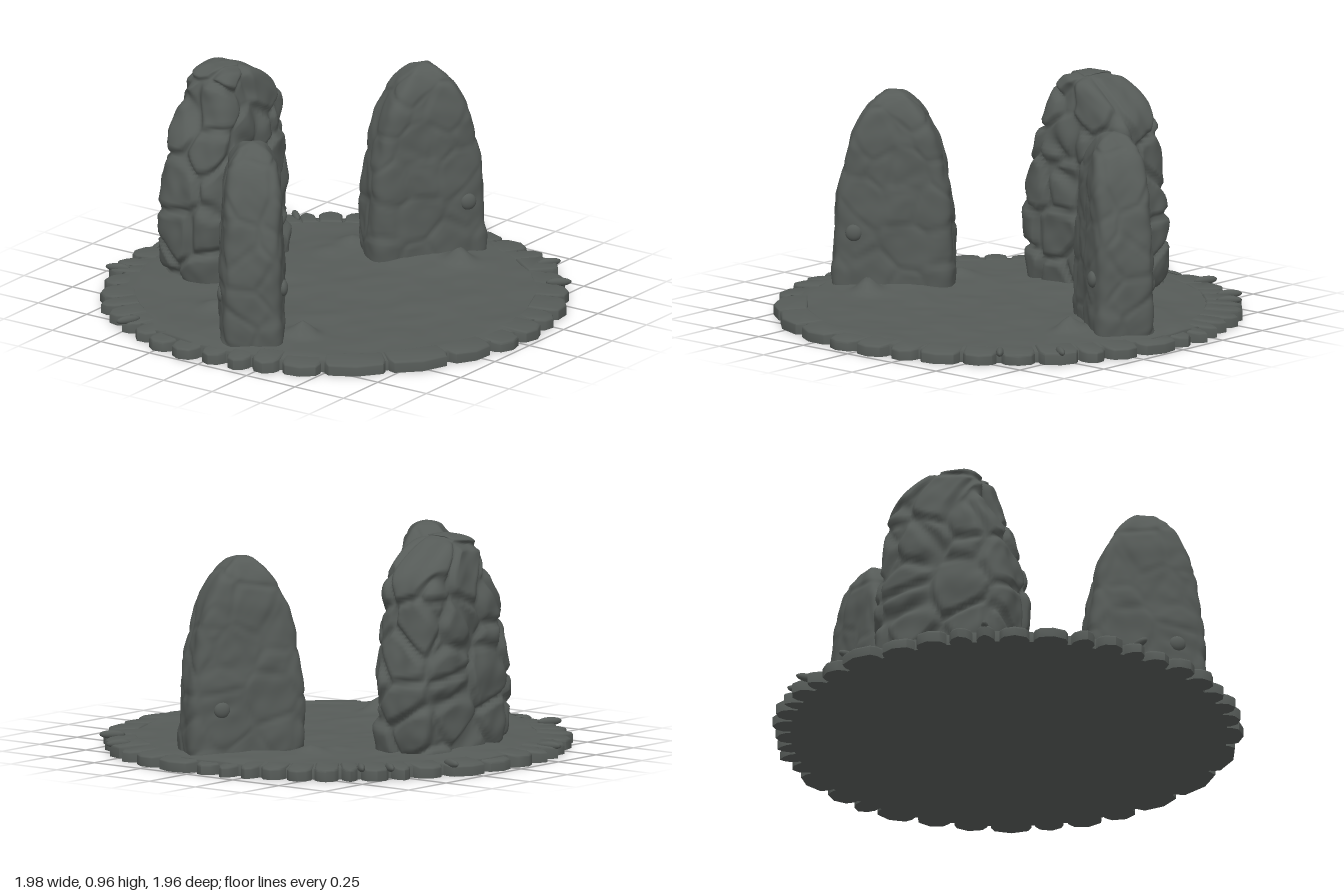
import * as THREE from 'three';
import { toCreasedNormals } from 'three/addons/utils/BufferGeometryUtils.js';

const fract = v => v - Math.floor(v);
const hash = (x, y, z) => fract(Math.sin(x * 127.1 + y * 311.7 + z * 74.7) * 43758.5453);

// Soft rolling noise, about -1 to 1
function lumps(x, y, z) {
  return (Math.sin(x * 1.7 + Math.sin(y * 1.3 + z)) + Math.sin(y * 1.9 + Math.sin(z * 1.6 - x))
    + Math.sin(z * 2.1 + Math.sin(x * 1.4 + y))) / 3;
}

// 0 along the joints between random rock cells, 1 inside them
function cells(x, y, z) {
  let f1 = 9, f2 = 9;
  const cx = Math.floor(x), cy = Math.floor(y), cz = Math.floor(z);
  for (let i = cx - 1; i <= cx + 1; i++)
    for (let j = cy - 1; j <= cy + 1; j++)
      for (let k = cz - 1; k <= cz + 1; k++) {
        const d = Math.hypot(i + hash(i, j, k) - x, j + hash(j, k, i + 5) - y, k + hash(k, i, j + 9) - z);
        if (d < f1) { f2 = f1; f1 = d; } else if (d < f2) f2 = d;
      }
  return THREE.MathUtils.smoothstep(f2 - f1, 0, 0.22);
}

// Closed-around surface through rings of points
function skin(rows, cols, point) {
  const pos = [], index = [];
  for (let i = 0; i <= rows; i++)
    for (let j = 0; j < cols; j++) pos.push(...point(i / rows, (j / cols) * Math.PI * 2));
  for (let i = 0; i < rows; i++)
    for (let j = 0; j < cols; j++) {
      const a = i * cols + j, c = i * cols + (j + 1) % cols;
      index.push(a, a + cols, c, a + cols, c + cols, c);
    }
  const g = new THREE.BufferGeometry();
  g.setAttribute('position', new THREE.Float32BufferAttribute(pos, 3));
  g.setIndex(index);
  g.computeVertexNormals();
  return g;
}

// Standing stone: profile points are [half width, height, half depth]
function stoneGeometry(profile, { power, crack, size, rough, shift = () => 0 }) {
  const curve = new THREE.CatmullRomCurve3(profile.map(p => new THREE.Vector3(...p)));
  return skin(90, 128, (t, a) => {
    const p = curve.getPoint(t);
    const c = Math.cos(a), s = Math.sin(a);
    const r = (Math.abs(c) ** power + Math.abs(s) ** power) ** (-1 / power);
    const x = p.x * r * c, z = p.z * r * s;
    // Push along the wall, easing off towards the crown
    const nx = Math.sign(c) * Math.abs(c) ** (power - 1), nz = Math.sign(s) * Math.abs(s) ** (power - 1);
    const len = Math.hypot(nx, nz), fade = Math.min(1, p.x / 0.08);
    const d = fade * (rough * lumps(x * 14, p.y * 11, z * 14) + rough * 0.4 * lumps(x * 33, p.y * 30, z * 33)
      + crack * (cells(x / size + 3, p.y / size, z / size + 7) - 0.8));
    return [x + nx / len * d + shift(p.y), p.y + (1 - fade) * 0.004 * lumps(x * 40, 1, z * 40), z + nz / len * d];
  });
}

export function createModel() {
  const model = new THREE.Group();
  const stone = new THREE.MeshStandardMaterial({ color: 0x565b58 });
  stone.name = 'dark grey stone';
  const add = (parent, name, geometry) => {
    const m = new THREE.Mesh(geometry, stone);
    m.name = name;
    parent.add(m);
    return m;
  };

  // Earth heaped around each foot: x, z, spread, height
  const mounds = [[0.57, 0.24, 0.05, 0.06], [-0.57, 0.24, 0.05, 0.06], [0.62, 0.01, 0.24, 0.03],
    [-0.62, 0.01, 0.24, 0.03], [0, -0.56, 0.28, 0.03], [0.36, -0.3, 0.07, 0.015], [0.5, -0.27, 0.06, 0.03], [-0.5, -0.27, 0.06, 0.03]];
  const groundHeight = (x, z) => mounds.reduce(
    (y, [mx, mz, w, h]) => y + h * Math.exp(-((x - mx) ** 2 + (z - mz) ** 2) / (w * w)),
    0.053 + 0.005 * lumps(x * 8, 2, z * 8) + 0.003 * lumps(x * 19, 5, z * 19));

  // Uneven round floor with a flat underside
  add(model, 'floor', skin(60, 128, (t, a) => {
    const r = t === 0 ? 0.92 : 0.92 * (1 - t) / (1 - 1 / 60);
    const x = r * Math.cos(a), z = r * Math.sin(a);
    return [x, t === 0 ? 0 : groundHeight(x, z) - 0.008 * THREE.MathUtils.smoothstep(r, 0.84, 0.92), z];
  }));
  add(model, 'underside', new THREE.CircleGeometry(0.92, 96).rotateX(Math.PI / 2));

  // Ring of edging blocks between these joints, in degrees
  const joints = [0, 7, 13, 19, 26, 33, 40, 45, 53, 59, 68, 80, 90, 99, 106, 112, 121, 131, 138, 146, 153, 161,
    169, 178, 186, 193, 201, 212, 229, 246, 260, 270, 280, 289, 300, 310, 320, 331, 338, 348, 360];
  const rim = new THREE.Group();
  rim.name = 'rim';
  model.add(rim);
  const at = (r, deg) => new THREE.Vector2(r * Math.cos(deg * Math.PI / 180), r * Math.sin(deg * Math.PI / 180));
  for (let i = 0; i < joints.length - 1; i++) {
    const a0 = joints[i], a1 = joints[i + 1];
    const outer = (a1 - a0 > 13 ? 0.975 : 0.982) - 0.022 * hash(i, 3, 8);
    const gap = 0.35 + 0.45 * hash(i, 1, 4);
    const shape = new THREE.Shape([at(0.84, a0 + 0.1), at(outer - 0.03, a0 + gap), at(outer, a0 + gap + 1), at(outer + 0.018, (a0 + a1) / 2),
      at(outer, a1 - gap - 1), at(outer - 0.03, a1 - gap), at(0.84, a1 - 0.1)]);
    const g = new THREE.ExtrudeGeometry(shape, { depth: 0.038 + 0.012 * hash(i, 7, 2), bevelSize: 0.012, bevelOffset: -0.012, bevelThickness: 0.012, bevelSegments: 3 });
    g.rotateX(-Math.PI / 2);
    const p = g.attributes.position;
    for (let k = 0; k < p.count; k++) {
      const r = Math.hypot(p.getX(k), p.getZ(k));
      p.setY(k, Math.max(0, p.getY(k)) * (1 - 0.18 * THREE.MathUtils.smoothstep(r, 0.88, 0.99)));
    }
    add(rim, 'rimBlock', toCreasedNormals(g, 0.8));
  }

  // Slivers of rock lying across the rim: x, z
  for (const [x, z] of [[0.66, -0.67], [-0.31, -0.9], [0.33, -0.89], [0.79, 0.54], [-0.83, -0.48], [0.58, -0.76], [0.61, 0.72]]) {
    const sliver = add(rim, 'sliver', new THREE.SphereGeometry(1, 12, 8));
    sliver.scale.set(0.055, 0.018, 0.016);
    sliver.position.set(x, 0.053, z);
    sliver.rotation.y = -Math.atan2(z, x);
  }

  // Tall cracked stone at the back
  const tall = add(model, 'backStone', stoneGeometry(
    [[0.28, 0.02, 0.165], [0.31, 0.14, 0.175], [0.32, 0.28, 0.175], [0.30, 0.45, 0.175], [0.27, 0.6, 0.17], [0.23, 0.76, 0.155],
      [0.18, 0.86, 0.135], [0.10, 0.93, 0.1], [0.05, 0.953, 0.05], [0, 0.957, 0]],
    { power: 4, crack: 0.028, size: 0.19, rough: 0.011, shift: y => 0.035 * Math.exp(-(((y - 0.77) / 0.09) ** 2)) - 0.03 * THREE.MathUtils.smoothstep(y, 0.82, 0.95) }));
  tall.position.z = -0.565;

  // Mirrored pair of smoother side stones, turned towards the middle
  const sideGeometry = stoneGeometry(
    [[0.25, 0.02, 0.13], [0.255, 0.14, 0.135], [0.25, 0.3, 0.135], [0.235, 0.45, 0.132], [0.205, 0.6, 0.125], [0.165, 0.72, 0.115],
      [0.115, 0.81, 0.095], [0.06, 0.865, 0.06], [0.03, 0.88, 0.03], [0, 0.884, 0]],
    { power: 6, crack: 0.006, size: 0.16, rough: 0.008 });
  // Swap left and right, keeping the faces outward
  const mirrored = g => {
    const m = g.clone().scale(-1, 1, 1), ix = m.index.array;
    for (let k = 0; k < ix.length; k += 3) [ix[k], ix[k + 1]] = [ix[k + 1], ix[k]];
    m.computeVertexNormals();
    return m;
  };
  for (const side of [1, -1]) {
    const group = new THREE.Group();
    group.name = side > 0 ? 'leftStone' : 'rightStone';
    group.position.set(side * 0.62, 0, 0.01);
    group.rotation.y = -side * 0.63;
    model.add(group);
    add(group, 'body', side > 0 ? sideGeometry : mirrored(sideGeometry));
    // Round knobs low on both faces
    for (const [x, y, z] of [[0.16, 0.29, 0.128], [0.12, 0.25, -0.128]]) {
      const knob = add(group, 'knob', new THREE.SphereGeometry(0.036, 16, 12));
      knob.position.set(side * x, y, z);
      knob.scale.z = 0.6;
    }
  }
  return model;
}
